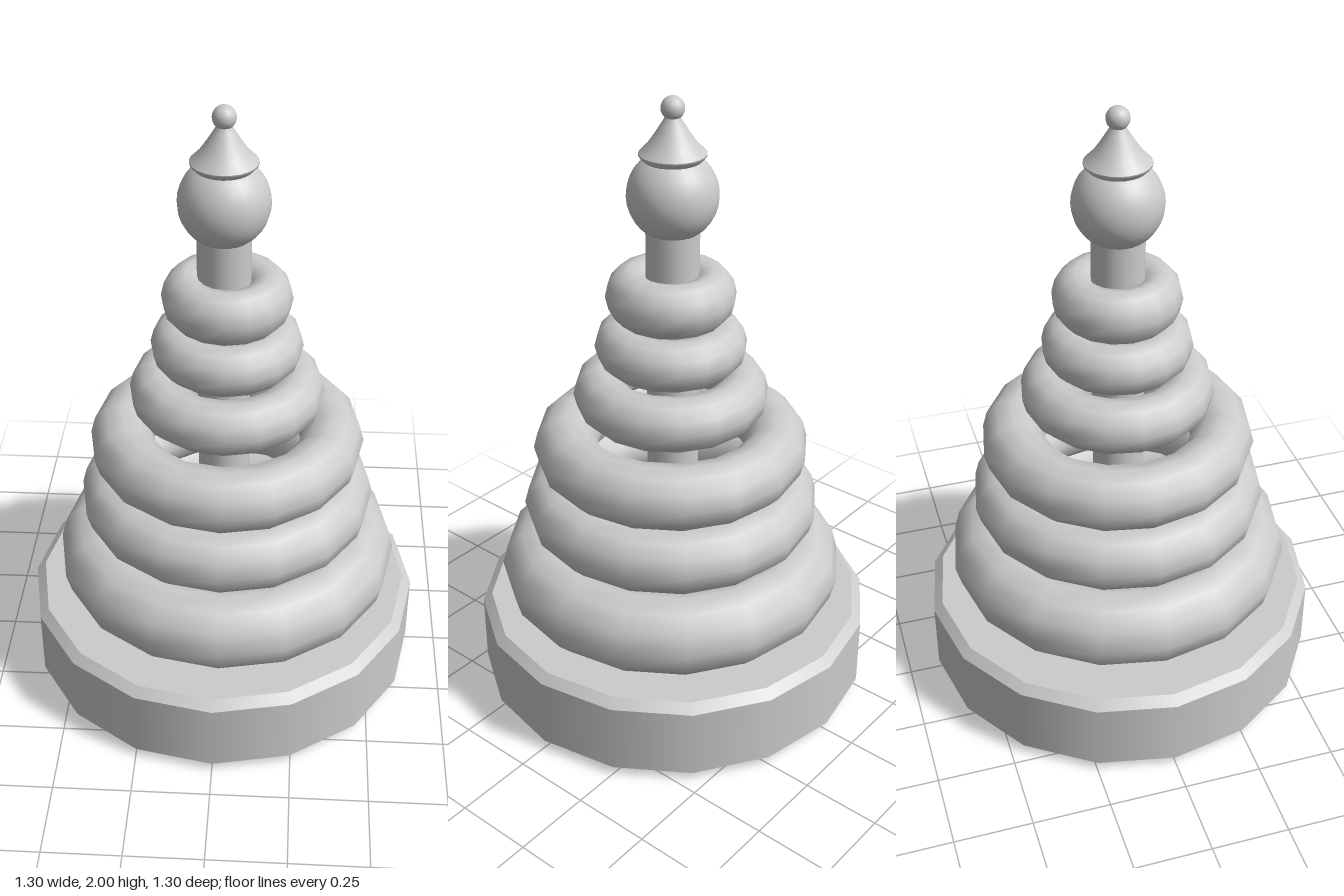
import * as THREE from 'three';

const SIDES = 16;

export function createModel() {
  const group = new THREE.Group();
  const material = new THREE.MeshStandardMaterial({ color: 0xcccccc });

  const add = (name, geometry, x, y, parent = group) => {
    const mesh = new THREE.Mesh(geometry, material);
    mesh.name = name;
    mesh.position.set(x, y, 0);
    parent.add(mesh);
    return mesh;
  };

  // Round base: a drum with a bevel at both rims
  const base = new THREE.Group();
  base.name = 'base';
  group.add(base);
  const band = (name, rTop, rBottom, y0, y1, open) =>
    add(name, new THREE.CylinderGeometry(rTop, rBottom, y1 - y0, SIDES, 1, open), 0, (y0 + y1) / 2, base);
  band('baseWall', 0.65, 0.65, 0.028, 0.26, true);
  band('baseTopBevel', 0.62, 0.65, 0.26, 0.287, true);
  band('baseBottomBevel', 0.65, 0.62, 0, 0.028, true);
  const disc = (name, y, turn) =>
    add(name, new THREE.CircleGeometry(0.62, SIDES).rotateX(turn), 0, y, base);
  disc('baseTop', 0.287, -Math.PI / 2);
  disc('baseBottom', 0, Math.PI / 2);

  // Stacked rings: outer radius, bottom, top, radial half-thickness
  const rings = [
    [0.565, 0.287, 0.548, 0.13],
    [0.481, 0.548, 0.757, 0.104],
    [0.443, 0.757, 0.962, 0.102],
    [0.31, 0.962, 1.134, 0.084],
    [0.239, 1.134, 1.295, 0.077],
    [0.203, 1.295, 1.466, 0.074],
  ];
  rings.forEach(([outer, y0, y1, r], i) => {
    const geometry = new THREE.TorusGeometry(outer - r, r, 12, SIDES);
    geometry.scale(1, 1, (y1 - y0) / (2 * r)).rotateX(-Math.PI / 2);
    add(`ring${i + 1}`, geometry, 0.013, (y0 + y1) / 2);
  });

  // Central pole running up through the rings
  add('pole', new THREE.CylinderGeometry(0.083, 0.083, 1.36, SIDES), 0.004, 0.94);

  // Head ball
  add('head', new THREE.SphereGeometry(0.14, 24, 16), 0.004, 1.7);

  // Pointed cap with a flared rim and a small ball on top
  const lathe = (pts) => new THREE.LatheGeometry(pts.map(([r, y]) => new THREE.Vector2(r, y)), 24);
  add('capRim', lathe([[0.07, 1.795], [0.085, 1.806], [0.102, 1.824], [0.102, 1.83]]), 0.004, 0);
  add('cap', lathe([[0.102, 1.83], [0.075, 1.857], [0.052, 1.89], [0.032, 1.922], [0.018, 1.945], [0.012, 1.965]]), 0.004, 0);
  add('tipBall', new THREE.SphereGeometry(0.036, 16, 12), 0.004, 1.964);

  return group;
}
